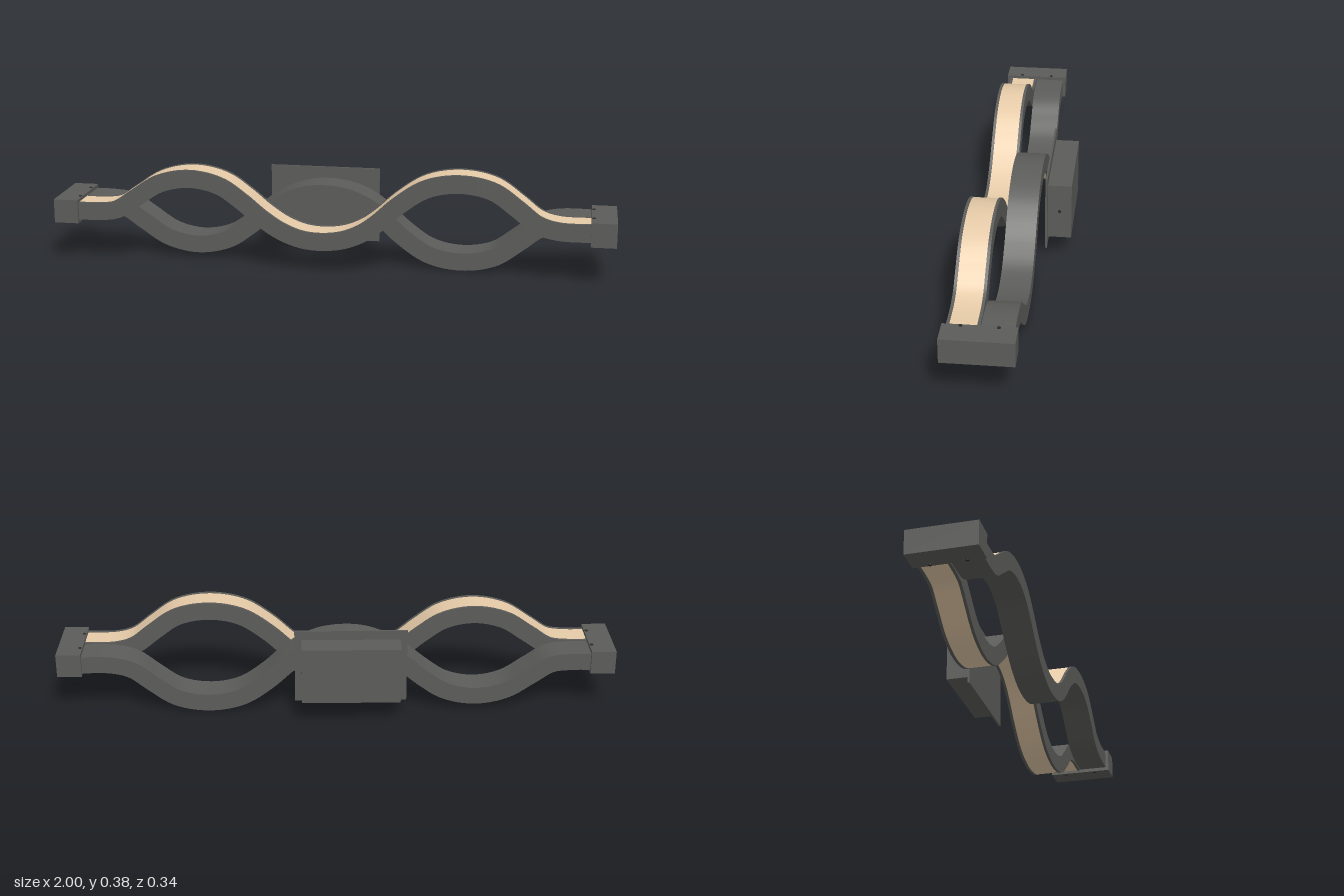
import * as THREE from 'three';
import { toCreasedNormals } from 'three/addons/utils/BufferGeometryUtils.js';

const metal = new THREE.MeshStandardMaterial({ color: 0x5c5c5a });
const screwMetal = new THREE.MeshStandardMaterial({ color: 0x2c2c2c });
const diffuser = new THREE.MeshStandardMaterial({ color: 0xe6cba8 });

const MID = 0.191; // height of the symmetry axis

// Centreline of one wavy bar, relative to the axis
const wave = new THREE.CatmullRomCurve3([
  [-0.94, 0.002], [-0.84, 0.002], [-0.77, 0.012], [-0.70, 0.057], [-0.61, 0.114],
  [-0.5, 0.136], [-0.39, 0.114], [-0.31, 0.061], [-0.24, 0.004], [-0.17, -0.041],
  [-0.1, -0.067], [-0.03, -0.074], [0.05, -0.064], [0.12, -0.035], [0.175, 0.005],
  [0.25, 0.073], [0.345, 0.135], [0.46, 0.156], [0.575, 0.135], [0.66, 0.077],
  [0.73, 0.024], [0.80, 0.004], [0.94, 0.002],
].map(([x, y]) => new THREE.Vector3(x, y, 0)));

// Sweep an open profile of [offset from centreline, z] along the wave
function sweep(profile, steps = 140) {
  const pos = [], index = [], n = profile.length;
  for (let i = 0; i <= steps; i++) {
    const p = wave.getPoint(i / steps), t = wave.getTangent(i / steps);
    for (const [o, z] of profile) pos.push(p.x - t.y * o, p.y + t.x * o, z);
  }
  for (let i = 0; i < steps; i++) {
    for (let j = 0; j < n - 1; j++) {
      const a = i * n + j, b = a + n;
      index.push(a, b, a + 1, b, b + 1, a + 1);
    }
  }
  const g = new THREE.BufferGeometry();
  g.setAttribute('position', new THREE.Float32BufferAttribute(pos, 3));
  g.setIndex(index);
  return toCreasedNormals(g, 0.6);
}

function add(parent, name, geometry, material, x = 0, y = 0, z = 0) {
  const m = new THREE.Mesh(geometry, material);
  m.name = name;
  m.position.set(x, y, z);
  parent.add(m);
  return m;
}

function box(parent, name, x0, x1, y0, y1, z0, z1) {
  return add(parent, name, new THREE.BoxGeometry(x1 - x0, y1 - y0, z1 - z0), metal,
    (x0 + x1) / 2, (y0 + y1) / 2, (z0 + z1) / 2);
}

// Metal channel with a recessed light strip on its upper side
function waveBar(name) {
  const g = new THREE.Group();
  g.name = name;
  const h = 0.032, r = 0.03, w = 0.0535, v = 0.0435;
  add(g, 'channel', sweep([[r, -v], [h, -v], [h, -w], [-h, -w], [-h, w], [h, w], [h, v], [r, v]]), metal);
  add(g, 'lightStrip', sweep([[r, v], [r, -v]]), diffuser);
  return g;
}

export function createModel() {
  const model = new THREE.Group();
  model.name = 'wavyLamp';

  // Two bars, the rear one turned over so its strip faces down
  const front = waveBar('frontBar');
  front.position.set(0, MID, 0.107);
  const rear = waveBar('rearBar');
  rear.rotation.x = Math.PI;
  rear.position.set(0, MID, -0.002);
  model.add(front, rear);

  // End caps with set screws above and below
  for (const s of [-1, 1]) {
    const cap = new THREE.Group();
    cap.name = s > 0 ? 'leftEndCap' : 'rightEndCap';
    box(cap, 'capBlock', s > 0 ? 0.912 : -1, s > 0 ? 1 : -0.912, 0.148, 0.234, -0.066, 0.172);
    for (const z of [0.112, -0.007]) {
      for (const y of [0.148, 0.234]) {
        add(cap, 'setScrew', new THREE.CylinderGeometry(0.006, 0.006, 0.005, 12), screwMetal, s * 0.92, y, z);
      }
    }
    model.add(cap);
  }

  // Wall mount: thin plate and housing with side screws
  const mount = new THREE.Group();
  mount.name = 'wallMount';
  box(mount, 'mountPlate', -0.25, 0.15, 0.058, 0.332, -0.086, -0.079);
  box(mount, 'mountHousing', -0.225, 0.125, 0.091, 0.298, -0.17, -0.086);
  for (const x of [-0.225, 0.125]) {
    add(mount, 'sideScrew', new THREE.CylinderGeometry(0.006, 0.006, 0.003, 12), screwMetal, x, 0.195, -0.128)
      .rotation.z = Math.PI / 2;
  }
  model.add(mount);

  return model;
}
